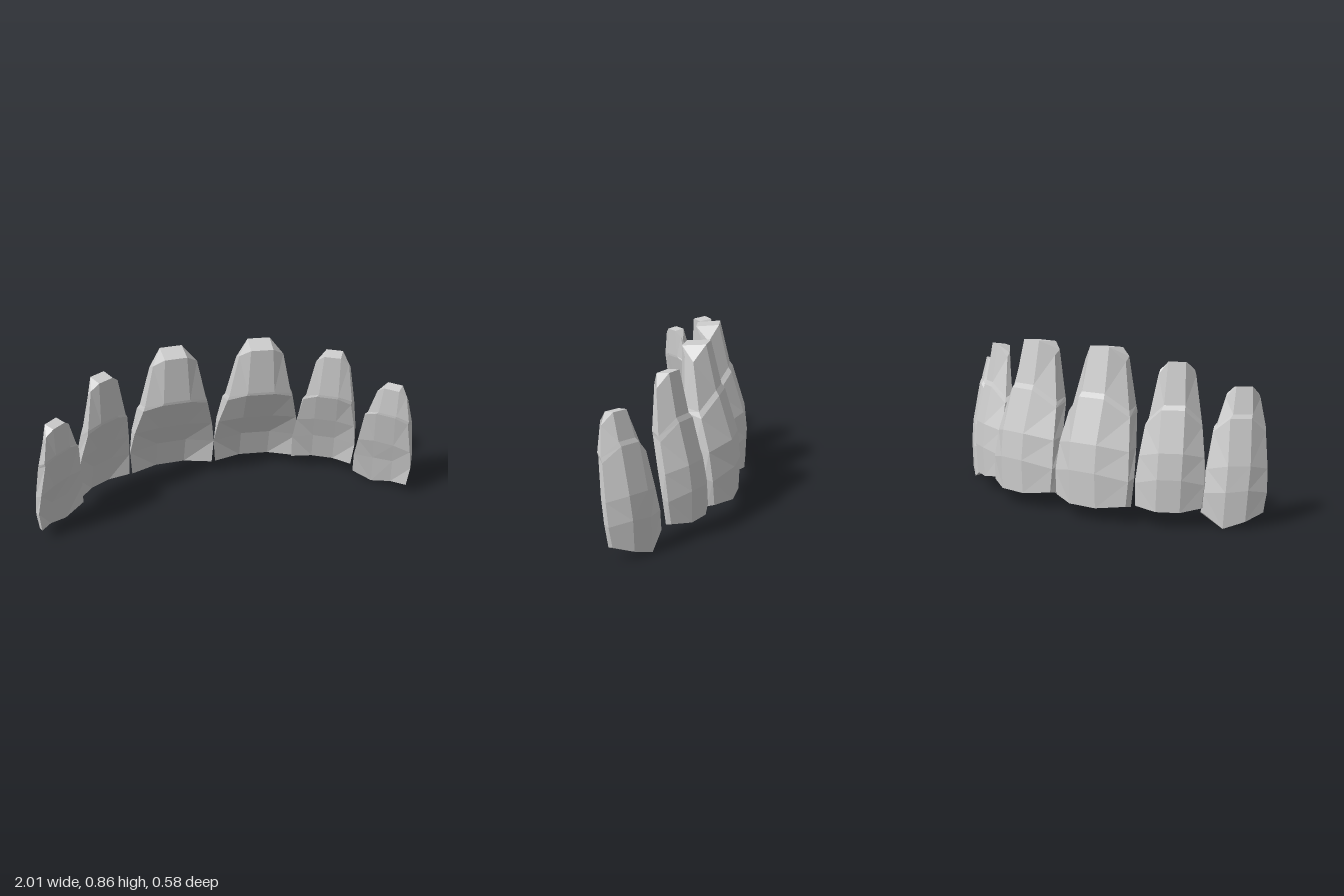
import * as THREE from 'three';

const material = new THREE.MeshStandardMaterial({ color: 0xcccccc, flatShading: true, side: THREE.DoubleSide });

// Eight-sided rings from biting edge to root end, for the largest tooth:
// heights of side / outer / inner corners, half widths at the outer side corner,
// inner side corner and middle panel, then how far out the outer side, inner
// side, outer middle and inner middle corners sit.
const RINGS = [
  [0.09, 0.075, 0.075, 0.218, 0.226, 0.08, 0.028, -0.008, 0.096, 0.055],
  [0.215, 0.25, 0.25, 0.228, 0.235, 0.08, 0.022, -0.022, 0.103, 0],
  [0.36, 0.39, 0.4, 0.217, 0.213, 0.08, 0, -0.07, 0.088, -0.08],
  [0.52, 0.61, 0.585, 0.19, 0.173, 0.077, -0.045, -0.135, 0.02, -0.168], // gum line step
  [0.55, 0.635, 0.6, 0.176, 0.165, 0.07, -0.06, -0.138, 0.003, -0.17],
  [0.785, 0.86, 0.85, 0.125, 0.115, 0.058, -0.1, -0.145, -0.05, -0.172],
];

// side: +1 or -1; width, depth and inner (the inward half) scale the rings; base
// and top set the height; cusp lowers the middle of the edge; neck raises the
// gum line; lean shifts the root along the arch
function tooth({ name, side, x, z, angle, width, depth, inner, base, top, cusp = 0, neck = 0, lean = 0 }) {
  const rings = RINGS.map(([ys, yo, yi, wo, wi, m, so, si, o, i], k) => {
    const drop = k === 0 ? cusp : k === 1 ? cusp * 0.3 : 0;
    const raise = k === 3 || k === 4 ? neck : 0;
    const shift = side * lean * (k / (RINGS.length - 1));
    const fy = y => base + (y - 0.075) * (top - base) / 0.785 + raise;
    const p = (px, y, out) => new THREE.Vector3(px * width + shift, y, -out * depth);
    const q = (px, y, out) => new THREE.Vector3(px * width + shift, y, -out * (out < 0 ? inner : depth));
    // cusp is lowest on the corner nearer the arch centre
    const outerY = s => fy(yo) - drop * (s === side ? 0.4 : 1);
    const innerY = s => fy(yi) - drop * (s === side ? 0.4 : 0.9);
    const innerSideY = fy(ys + 0.4 * (yi - ys));
    return [
      p(-wo, fy(ys), so), p(-m, outerY(-1), o),
      p(m, outerY(1), o), p(wo, fy(ys), so),
      q(wi, innerSideY, si), q(m, innerY(1), i),
      q(-m, innerY(-1), i), q(-wi, innerSideY, si),
    ];
  });
  const pts = [];
  const quad = (a, b, c, d) => pts.push(a, b, c, a, c, d);
  // walls, split along mirrored diagonals
  for (let k = 0; k < rings.length - 1; k++) {
    for (let i = 0; i < 8; i++) {
      const j = (i + 1) % 8, a = rings[k], b = rings[k + 1];
      if (i === 2 || i === 6) quad(a[i], b[i], b[j], a[j]);
      else quad(a[j], a[i], b[i], b[j]);
    }
  }
  // biting edge and root end
  const first = rings[0], last = rings[rings.length - 1];
  for (const [a, b, c, d] of [[0, 1, 6, 7], [1, 2, 5, 6], [2, 3, 4, 5]]) {
    quad(first[a], first[b], first[c], first[d]);
    quad(last[d], last[c], last[b], last[a]);
  }
  const geometry = new THREE.BufferGeometry().setFromPoints(pts);
  geometry.computeVertexNormals();
  const mesh = new THREE.Mesh(geometry, material);
  mesh.name = name;
  mesh.position.set(x, 0, z);
  mesh.rotation.y = -side * THREE.MathUtils.degToRad(angle);
  return mesh;
}

export function createModel() {
  const group = new THREE.Group();
  group.name = 'upperFrontTeeth';
  const central = { width: 1, depth: 1, inner: 1, base: 0.075, top: 0.865 };
  const lateral = { width: 0.74, depth: 0.75, inner: 0.63, base: 0.083, top: 0.81 };
  const canine = { width: 0.685, depth: 0.64, inner: 0.52, base: 0.06, top: 0.69, cusp: 0.058, neck: 0.05, lean: 0.05 };

  // the two halves of the arch differ slightly in placement
  group.add(
    tooth({ ...central, name: 'leftCentralIncisor', side: 1, x: 0.24, z: -0.175, angle: 5 }),
    tooth({ ...central, name: 'rightCentralIncisor', side: -1, x: -0.232, z: -0.18, angle: 3 }),
    tooth({ ...lateral, name: 'leftLateralIncisor', side: 1, x: 0.594, z: -0.063, angle: 26, lean: 0.045 }),
    tooth({ ...lateral, name: 'rightLateralIncisor', side: -1, x: -0.62, z: -0.068, angle: 31, lean: 0.028 }),
    tooth({ ...canine, name: 'leftCanine', side: 1, x: 0.868, z: 0.141, angle: 39 }),
    tooth({ ...canine, name: 'rightCanine', side: -1, x: -0.868, z: 0.123, angle: 41 }),
  );
  return group;
}
